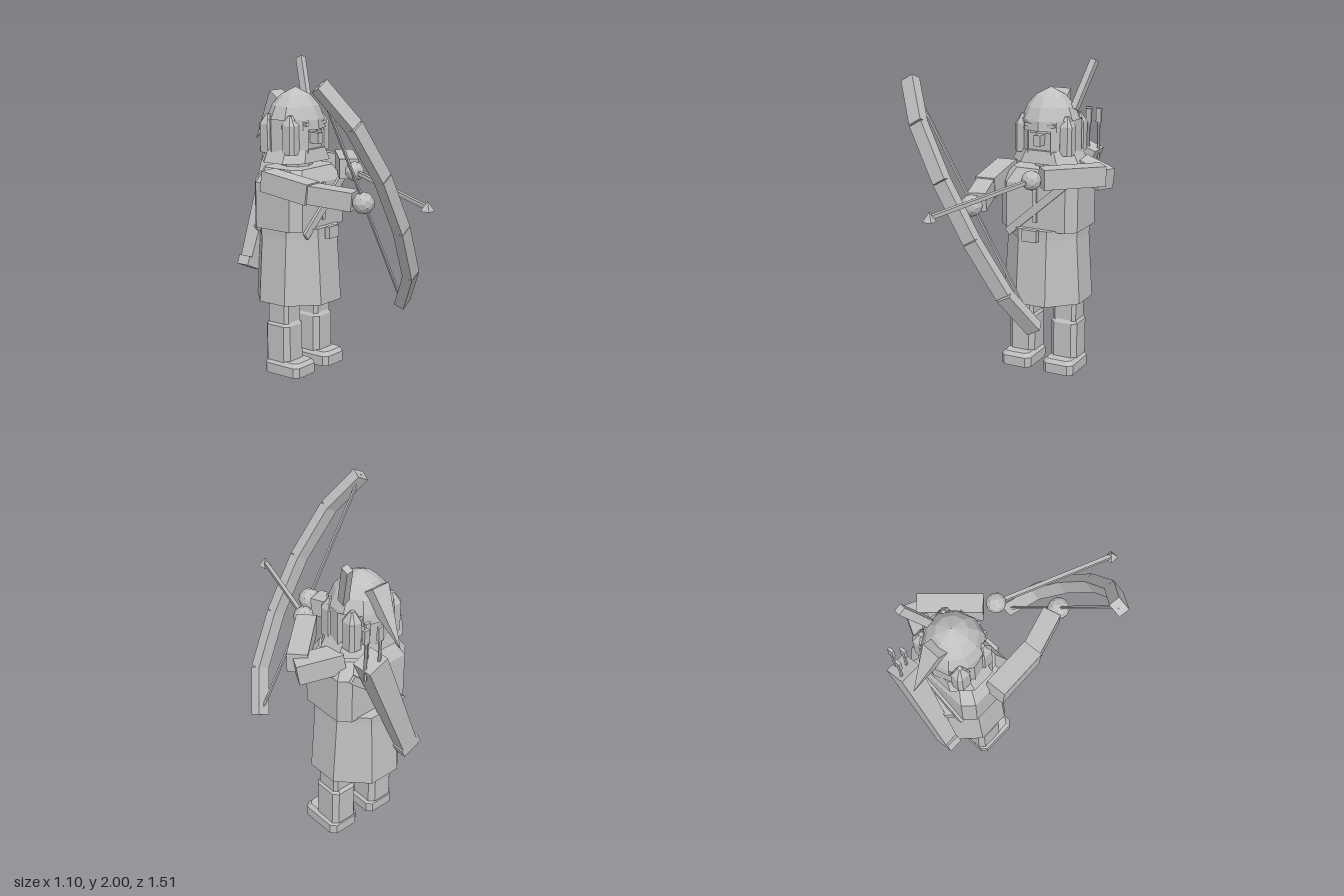
import * as THREE from 'three';

const stone = new THREE.MeshStandardMaterial({ color: 0xc0c0c0, flatShading: true, side: THREE.DoubleSide });
stone.name = 'plain grey';
const V = (x, y, z) => new THREE.Vector3(x, y, z);

export function createModel() {
  const group = new THREE.Group();
  group.name = 'archer';
  const CX = 0.097, CZ = -0.4;

  function add(name, geo, x = 0, y = 0, z = 0) {
    const m = new THREE.Mesh(geo, stone);
    m.name = name;
    m.position.set(x, y, z);
    group.add(m);
    return m;
  }

  // Stack of chamfered rectangles: each ring is [y, halfWidth, halfDepth, chamfer]
  function loft(rings) {
    const loops = rings.map(([y, w, d, c]) => [
      V(w, y, -d + c), V(w, y, d - c), V(w - c, y, d), V(-w + c, y, d),
      V(-w, y, d - c), V(-w, y, -d + c), V(-w + c, y, -d), V(w - c, y, -d)]);
    const pts = [];
    const last = loops.length - 1;
    for (let i = 0; i < 8; i++) {
      const j = (i + 1) % 8;
      for (let k = 0; k < last; k++) {
        const a = loops[k][i], b = loops[k][j], c = loops[k + 1][j], d = loops[k + 1][i];
        pts.push(a, d, b, b, d, c);
      }
      pts.push(V(0, rings[0][0], 0), loops[0][i], loops[0][j]);
      pts.push(V(0, rings[last][0], 0), loops[last][j], loops[last][i]);
    }
    const g = new THREE.BufferGeometry().setFromPoints(pts);
    g.computeVertexNormals();
    return g;
  }

  // Box running from a to b; side is the rough direction of its width
  function beam(name, a, b, w, h, side = V(1, 0, 0)) {
    const dir = b.clone().sub(a), len = dir.length();
    dir.normalize();
    const z = side.clone().cross(dir).normalize();
    const x = dir.clone().cross(z);
    const m = add(name, new THREE.BoxGeometry(w, len, h));
    m.quaternion.setFromRotationMatrix(new THREE.Matrix4().makeBasis(x, dir, z));
    m.position.copy(a).add(b).multiplyScalar(0.5);
    return m;
  }

  // Legs and boots
  for (const s of [-1, 1]) {
    const x = CX + s * 0.15;
    add('bootSole', loft([[0, 0.105, 0.14, 0.03], [0.065, 0.105, 0.14, 0.03], [0.09, 0.085, 0.12, 0.025]]), x, 0, -0.352);
    add('bootShaft', loft([[0.08, 0.09, 0.097, 0.03], [0.32, 0.09, 0.097, 0.03], [0.345, 0.072, 0.08, 0.025]]), x, 0, -0.397);
    add('leg', loft([[0.33, 0.078, 0.082, 0.02], [0.6, 0.078, 0.082, 0.02]]), x, 0, -0.397);
  }

  // Tunic
  add('skirt', loft([[0.47, 0.267, 0.267, 0.165], [0.92, 0.238, 0.24, 0.142]]), CX, 0, CZ);
  add('belt', loft([[0.9, 0.242, 0.244, 0.142], [0.96, 0.242, 0.244, 0.142]]), CX, 0, CZ);
  add('buckle', new THREE.BoxGeometry(0.1, 0.075, 0.035), CX, 0.932, -0.125);
  add('torso', loft([[0.95, 0.262, 0.195, 0.06], [1.24, 0.262, 0.195, 0.06], [1.33, 0.2, 0.15, 0.05]]), CX, 0, -0.392);
  add('placket', new THREE.BoxGeometry(0.025, 0.24, 0.015), CX, 1.12, -0.193);
  beam('chestStrap', V(-0.09, 0.92, -0.188), V(0.31, 1.27, -0.188), 0.05, 0.018);
  beam('backStrap', V(-0.09, 0.92, -0.595), V(0.31, 1.27, -0.595), 0.05, 0.018);
  add('neck', new THREE.CylinderGeometry(0.1, 0.1, 0.14, 8), CX, 1.36, -0.41);

  // Hood and face
  const HZ = -0.415;
  add('collar', loft([[1.365, 0.225, 0.175, 0.1], [1.445, 0.185, 0.16, 0.09]]), CX, 0, HZ);
  add('head', loft([[1.43, 0.13, 0.135, 0.04], [1.65, 0.13, 0.135, 0.04]]), CX, 0, HZ);
  const shell = add('hood', new THREE.CylinderGeometry(0.2, 0.2, 0.21, 8, 1, true, Math.PI / 8, Math.PI * 1.75), CX, 1.53, HZ);
  shell.scale.z = 0.9;
  for (const s of [-1, 1]) {
    add('cheekGuard', loft([[1.42, 0.045, 0.05, 0.02], [1.6, 0.045, 0.05, 0.02], [1.66, 0.012, 0.012, 0.005]]), CX + s * 0.148, 0, HZ + 0.08);
    add('rearGuard', loft([[1.42, 0.045, 0.05, 0.02], [1.6, 0.045, 0.05, 0.02], [1.66, 0.012, 0.012, 0.005]]), CX + s * 0.148, 0, HZ - 0.1);
    const brow = add('brow', new THREE.BoxGeometry(0.085, 0.022, 0.03), CX + s * 0.06, 1.602, -0.262);
    brow.rotation.z = s * 0.15;
    add('eye', new THREE.BoxGeometry(0.04, 0.025, 0.012), CX + s * 0.055, 1.565, -0.277);
  }
  add('nose', new THREE.BoxGeometry(0.045, 0.068, 0.07), CX, 1.515, -0.25);
  const dome = [[0.188, 1.57], [0.182, 1.63], [0.15, 1.71], [0.095, 1.775], [0, 1.825]];
  add('hoodDome', new THREE.LatheGeometry(dome.map(([r, y]) => new THREE.Vector2(r, y)), 10), CX, 0, HZ);

  // Drooping hood point, a four-sided spike
  const tail = add('hoodPoint', new THREE.ConeGeometry(0.085, 0.37, 4));
  tail.geometry.rotateY(Math.PI / 4);
  tail.quaternion.setFromUnitVectors(V(0, 1, 0), V(0, -0.8, -0.6).normalize());
  tail.position.set(CX, 1.61, -0.64);
  beam('feather', V(0.245, 1.69, -0.44), V(0.325, 1.985, -0.56), 0.04, 0.05);

  // Bow arm and hand
  beam('rightUpperArm', V(-0.2, 1.275, -0.4), V(-0.18, 1.225, -0.06), 0.13, 0.13);
  beam('rightForearm', V(-0.18, 1.225, -0.07), V(-0.1, 1.2, 0.2), 0.115, 0.115);
  add('rightHand', new THREE.IcosahedronGeometry(0.068, 1), -0.1, 1.195, 0.265);

  // Drawing arm and hand
  beam('leftUpperArm', V(0.27, 1.33, -0.47), V(0.51, 1.29, -0.345), 0.12, 0.13, V(-0.5, 0, 1));
  beam('leftForearm', V(0.49, 1.322, -0.335), V(0.2, 1.322, -0.07), 0.12, 0.125, V(0.7, 0, 0.7));
  add('leftHand', new THREE.IcosahedronGeometry(0.062, 1), 0.165, 1.32, 0);

  // Bow: five straight segments in a tilted plane, with its string
  const bow = [V(-0.51, 1.92, 0.262), V(-0.375, 1.69, 0.4), V(-0.185, 1.375, 0.465),
    V(0.01, 1.04, 0.465), V(0.195, 0.72, 0.41), V(0.32, 0.485, 0.262)];
  for (let i = 0; i < 5; i++) beam('bowSegment', bow[i], bow[i + 1], 0.09, 0.068, V(0.865, 0.5, 0));
  beam('bowString', bow[0], bow[5], 0.014, 0.014);

  // Nocked arrow
  beam('arrowShaft', V(0.165, 1.32, 0), V(-0.115, 1.232, 0.72), 0.024, 0.024);
  const tip = add('arrowHead', new THREE.ConeGeometry(0.042, 0.06, 4), -0.115, 1.238, 0.728);
  tip.rotation.y = Math.PI / 4;

  // Quiver slung across the back, with spare arrows
  const quiver = beam('quiver', V(-0.035, 0.69, -0.69), V(0.255, 1.42, -0.68), 0.14, 0.14);
  const p = quiver.geometry.attributes.position;
  for (let i = 0; i < p.count; i++) {
    if (p.getY(i) < 0) p.setXYZ(i, p.getX(i) * 0.8, p.getY(i), p.getZ(i) * 0.65);
  }
  quiver.geometry.computeVertexNormals();
  beam('quiverBase', V(-0.06, 0.645, -0.69), V(-0.035, 0.7, -0.69), 0.14, 0.09);
  for (const [x, z] of [[0.305, -0.695], [0.255, -0.65], [0.225, -0.72]]) {
    add('spareShaft', new THREE.CylinderGeometry(0.01, 0.01, 0.3, 6), x, 1.47, z);
    add('fletching', new THREE.BoxGeometry(0.036, 0.09, 0.018), x, 1.615, z);
  }
  return group;
}
